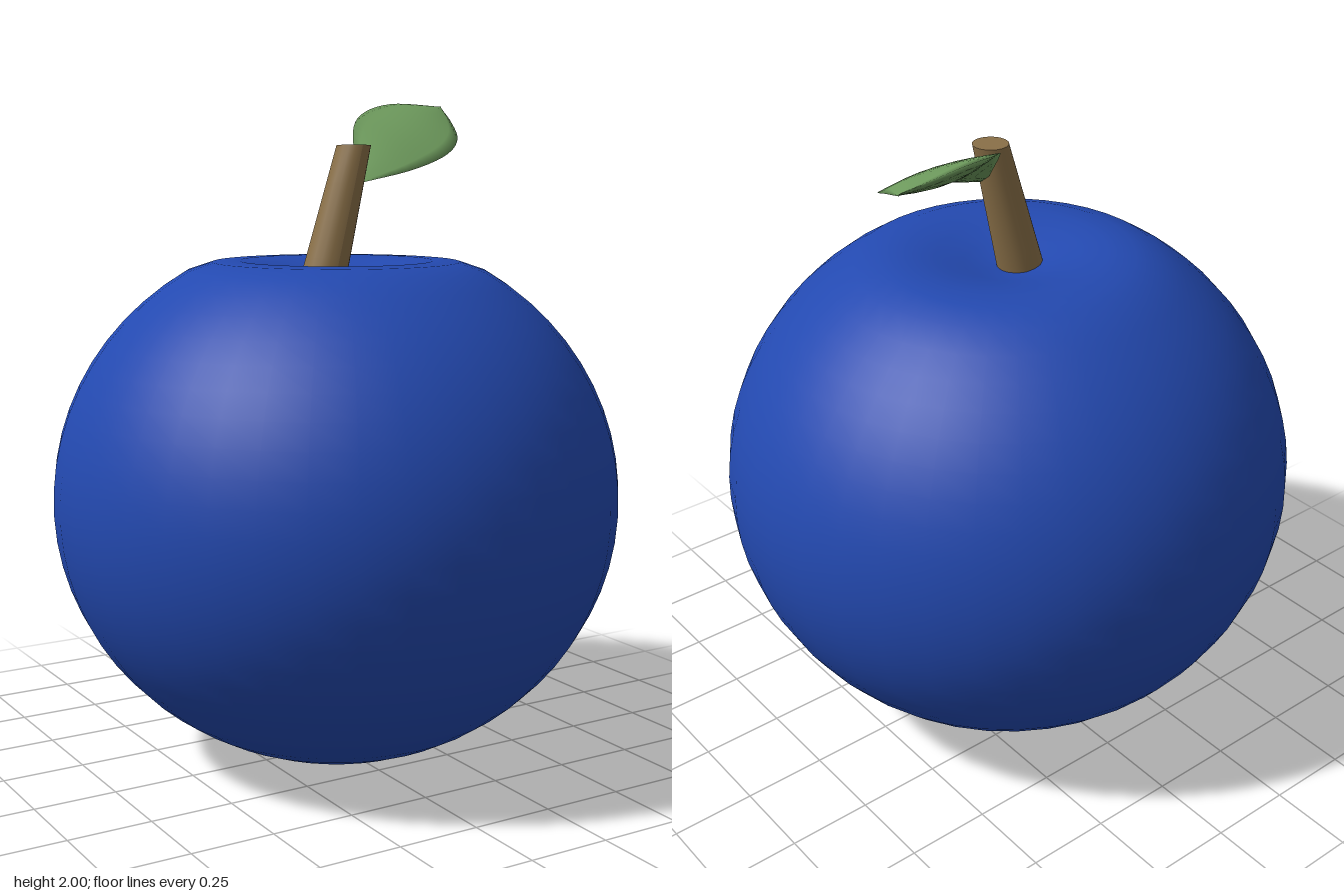
import * as THREE from 'three';

const mat = (color) => new THREE.MeshStandardMaterial({ color, side: THREE.DoubleSide });

function add(group, name, geometry, color) {
  const mesh = new THREE.Mesh(geometry, mat(color));
  mesh.name = name;
  group.add(mesh);
}

// Round body, slightly squashed, with a shallow dimple on top
function fruitGeometry() {
  const pts = [];
  const n = 27;
  for (let i = 0; i <= n; i++) {
    const a = -Math.PI / 2 + (i / n) * (Math.PI / 2 + 1.02);
    pts.push(new THREE.Vector2(Math.max(0, 0.855 * Math.cos(a)), 0.805 + 0.805 * Math.sin(a)));
  }
  for (const [r, y] of [[0.37, 1.517], [0.29, 1.52], [0.21, 1.508], [0.13, 1.485], [0.06, 1.467], [0, 1.46]])
    pts.push(new THREE.Vector2(r, y));
  return new THREE.LatheGeometry(pts, 40);
}

// Tapered stem, sheared sideways so both ends stay level
function stemGeometry() {
  const g = new THREE.CylinderGeometry(0.052, 0.072, 0.44, 16, 4);
  const p = g.attributes.position;
  for (let i = 0; i < p.count; i++) p.setX(i, p.getX(i) + 0.27 * p.getY(i));
  g.translate(0.002, 1.64, 0);
  g.computeVertexNormals();
  return g;
}

// Leaf: thin lens-shaped sections lofted between its two edge curves
function leafGeometry() {
  const curve = (a) => new THREE.CatmullRomCurve3(a.map((p) => new THREE.Vector3(...p)));
  const back = curve([[0.09, 1.78, -0.03], [0.17, 1.91, -0.18], [0.28, 1.965, -0.29], [0.43, 1.995, -0.36], [0.645, 1.99, -0.39]]);
  const front = curve([[0.09, 1.75, 0.01], [0.257, 1.785, 0.02], [0.417, 1.83, -0.03], [0.53, 1.88, -0.13], [0.6, 1.94, -0.27], [0.645, 1.985, -0.39]]);
  const normal = new THREE.Vector3(0, 0.88, 0.48);
  const rows = 20, half = 8, ring = half * 2;
  const pos = [], idx = [];
  for (let i = 0; i <= rows; i++) {
    const t = i / rows;
    const a = back.getPointAt(t), b = front.getPointAt(t);
    for (let j = 0; j < ring; j++) {
      const top = j <= half;
      const s = top ? j / half : 2 - j / half;
      const bulge = Math.sin(Math.PI * s) * Math.sin(Math.PI * t) * (top ? 0.018 : -0.035);
      pos.push(...a.clone().lerp(b, s).addScaledVector(normal, bulge).toArray());
      if (i < rows) {
        const k = i * ring + j, m = i * ring + ((j + 1) % ring);
        idx.push(k, m, k + ring, m, m + ring, k + ring);
      }
    }
  }
  const g = new THREE.BufferGeometry();
  g.setAttribute('position', new THREE.Float32BufferAttribute(pos, 3));
  g.setIndex(idx);
  g.computeVertexNormals();
  return g;
}

export function createModel() {
  const group = new THREE.Group();
  group.name = 'fruit';
  add(group, 'fruitBody', fruitGeometry(), 0x2349b0);
  add(group, 'stem', stemGeometry(), 0x8a7048);
  add(group, 'leaf', leafGeometry(), 0x6f9c5e);
  return group;
}
